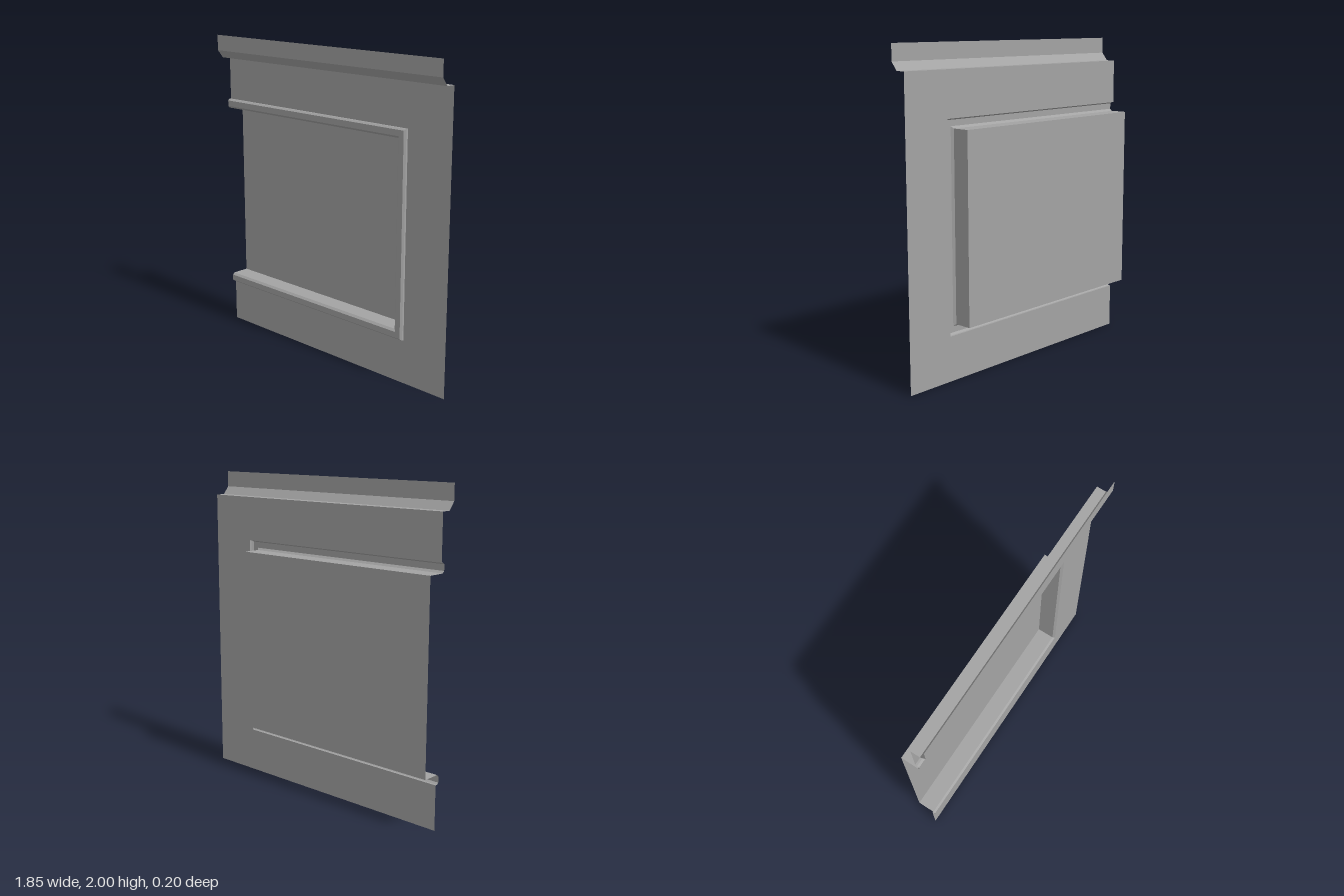
import * as THREE from 'three';

const LEFT = -0.925, RIGHT = 0.925, WALL_TOP = 1.85;
// Outer edge of the recess moulding
const OUT = { right: 0.61, top: 1.57, bottom: 0.28 };

// Flat-faced sheet through rows of points (rows run across, top row first)
function loft(rows) {
  const pos = [];
  for (let j = 0; j < rows.length - 1; j++) {
    for (let i = 0; i < rows[j].length - 1; i++) {
      const a = rows[j][i], b = rows[j][i + 1], c = rows[j + 1][i + 1], d = rows[j + 1][i];
      pos.push(...a, ...d, ...c, ...a, ...c, ...b);
    }
  }
  const g = new THREE.BufferGeometry();
  g.setAttribute('position', new THREE.Float32BufferAttribute(pos, 3));
  g.computeVertexNormals();
  return g;
}

// Three-sided path around the recess, stepped inward by d at depth z
const frameRow = ([d, z]) => [
  [LEFT, OUT.top - d, z],
  [OUT.right - d, OUT.top - d, z],
  [OUT.right - d, OUT.bottom + d, z],
  [LEFT, OUT.bottom + d, z],
];

export function createModel() {
  const group = new THREE.Group();
  const grey = new THREE.MeshStandardMaterial({ color: 0xa4a4a4, side: THREE.DoubleSide });
  grey.name = 'plain grey';
  const add = (name, geometry) => {
    const mesh = new THREE.Mesh(geometry, grey);
    mesh.name = name;
    group.add(mesh);
  };

  // Wall sheet, cut away on one side for the recess
  const wall = new THREE.Shape([
    [LEFT, 0], [RIGHT, 0], [RIGHT, WALL_TOP], [LEFT, WALL_TOP],
    [LEFT, OUT.top], [OUT.right, OUT.top], [OUT.right, OUT.bottom], [LEFT, OUT.bottom],
  ].map(([x, y]) => new THREE.Vector2(x, y)));
  add('wall', new THREE.ShapeGeometry(wall));

  // Cornice: upright band, slope and flat underside
  add('cornice', loft([[2, 0.1], [1.9, 0.1], [1.85, 0.06], [1.85, 0]]
    .map(([y, z]) => [[LEFT, y, z], [RIGHT, y, z]])));

  // Chamfered moulding around the recess
  add('moulding', loft([[0, 0], [0, 0.013], [0.01, 0.025], [0.047, 0.025], [0.06, 0.012], [0.06, 0]].map(frameRow)));

  // Recess sides and back panel
  add('recessSides', loft([[0.06, 0], [0.06, -0.1]].map(frameRow)));
  const r = OUT.right - 0.06, t = OUT.top - 0.06, b = OUT.bottom + 0.06;
  add('recessPanel', loft([[[LEFT, t, -0.1], [r, t, -0.1]], [[LEFT, b, -0.1], [r, b, -0.1]]]));

  return group;
}
